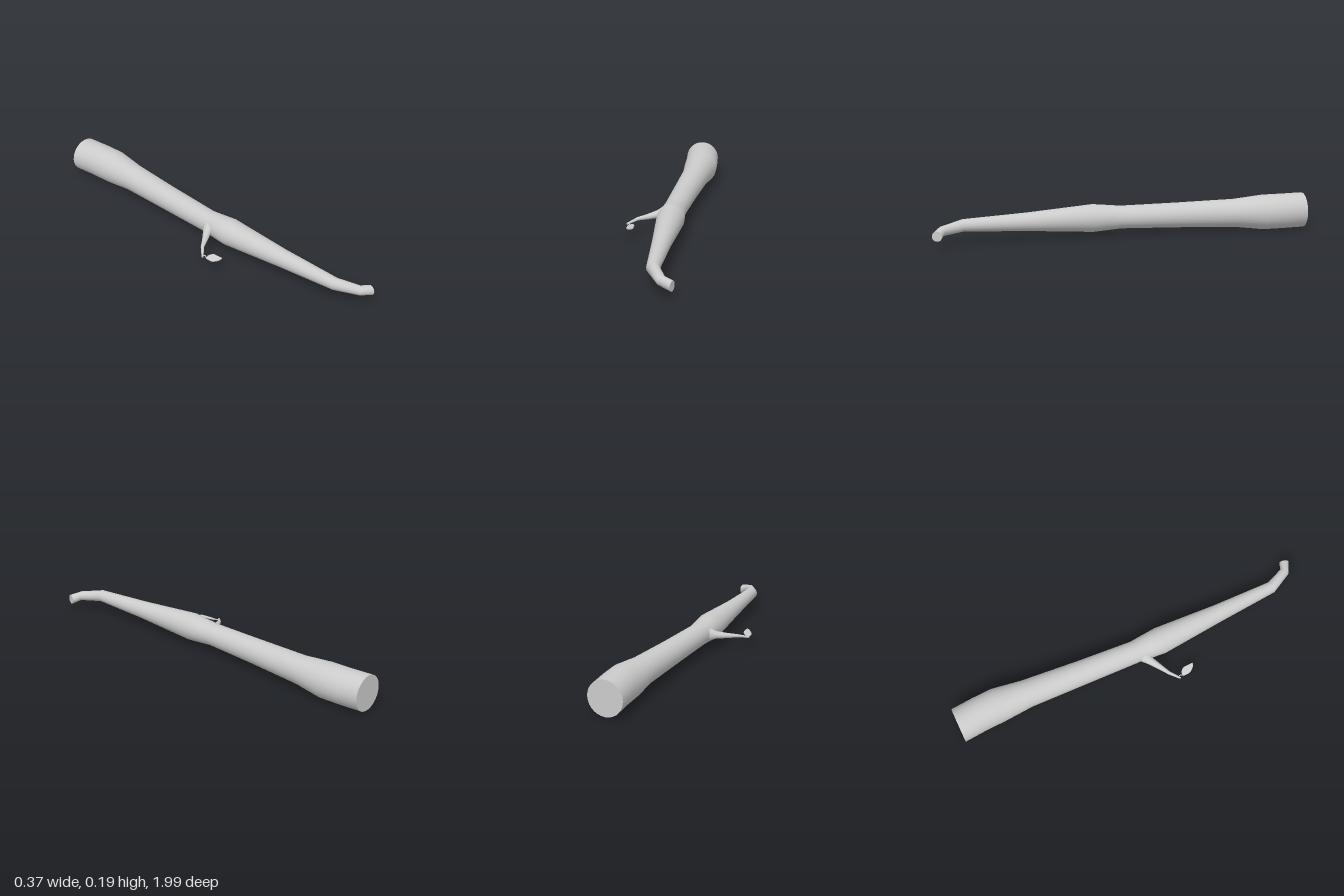
import * as THREE from 'three';

const SIDES = 28;
const material = () => new THREE.MeshStandardMaterial({ color: 0xcccccc });

// Skin over round rings; each ring is [x, y, z, radius, heading in degrees from +z towards +x]
function limb(name, rings) {
  const group = new THREE.Group();
  group.name = name;
  const up = new THREE.Vector3(0, 1, 0);
  const loops = rings.map(([x, y, z, r, heading]) => {
    const a = THREE.MathUtils.degToRad(heading);
    const side = new THREE.Vector3(Math.cos(a), 0, -Math.sin(a));
    return Array.from({ length: SIDES }, (_, j) => {
      const t = (j / SIDES) * Math.PI * 2;
      return new THREE.Vector3(x, y, z)
        .addScaledVector(side, r * Math.cos(t))
        .addScaledVector(up, r * Math.sin(t));
    });
  });
  const build = (points, index, part) => {
    const g = new THREE.BufferGeometry().setFromPoints(points);
    g.setIndex(index);
    g.computeVertexNormals();
    const mesh = new THREE.Mesh(g, material());
    mesh.name = part;
    group.add(mesh);
  };

  // Bark
  const index = [];
  for (let i = 0; i < rings.length - 1; i++) {
    for (let j = 0; j < SIDES; j++) {
      const k = (j + 1) % SIDES;
      const a = i * SIDES + j, b = i * SIDES + k;
      index.push(a, b, a + SIDES, b, b + SIDES, a + SIDES);
    }
  }
  build(loops.flat(), index, name + 'Bark');

  // Flat cut ends
  const fan = [], reversed = [];
  for (let j = 1; j < SIDES - 1; j++) {
    fan.push(0, j, j + 1);
    reversed.push(0, j + 1, j);
  }
  build(loops[0], reversed, name + 'BaseCut');
  build(loops[loops.length - 1], fan, name + 'TipCut');
  return group;
}

export function createModel() {
  const model = new THREE.Group();
  model.name = 'branch';

  // Main stem, tapering forward to a hooked tip
  model.add(limb('stem', [
    [0.073, 0.094, -1.0, 0.093, 0],
    [0.083, 0.094, -0.88, 0.093, 0],
    [0.087, 0.094, -0.77, 0.093, 0],
    [0.08, 0.095, -0.61, 0.075, 0],
    [0.062, 0.095, -0.3, 0.066, 0],
    [0.047, 0.095, 0.0, 0.06, 0],
    [0.047, 0.096, 0.08, 0.067, 0],
    [0.047, 0.097, 0.15, 0.073, 0],
    [0.055, 0.096, 0.5, 0.048, 0],
    [0.066, 0.096, 0.83, 0.032, 8],
    [0.122, 0.083, 0.943, 0.025, 36],
    [0.177, 0.07, 0.97, 0.026, 72],
  ]));

  // Side twig, flaring where it joins the stem
  model.add(limb('twig', [
    [0.03, 0.097, 0.035, 0.052, -85],
    [-0.004, 0.093, 0.045, 0.036, -75],
    [-0.032, 0.088, 0.056, 0.021, -62],
    [-0.085, 0.081, 0.09, 0.014, -58],
    [-0.132, 0.077, 0.118, 0.009, -52],
    [-0.18, 0.062, 0.163, 0.005, -45],
  ]));

  // Thin curved leaf stalk
  const stalkPath = new THREE.CatmullRomCurve3([
    new THREE.Vector3(-0.17, 0.065, 0.155),
    new THREE.Vector3(-0.164, 0.062, 0.17),
    new THREE.Vector3(-0.17, 0.059, 0.182),
    new THREE.Vector3(-0.162, 0.059, 0.195),
  ]);
  const stalk = new THREE.Mesh(new THREE.TubeGeometry(stalkPath, 10, 0.0028, 8), material());
  stalk.name = 'leafStalk';
  model.add(stalk);

  // Thick little leaf, tilted up towards the stem
  const outline = new THREE.Shape();
  outline.moveTo(-0.02, 0.034);
  outline.quadraticCurveTo(0.004, 0.042, 0.019, 0.012);
  outline.lineTo(0.021, -0.037);
  outline.quadraticCurveTo(-0.004, -0.034, -0.02, 0.0);
  outline.closePath();
  const leafShape = new THREE.ExtrudeGeometry(outline, {
    depth: 0.005, bevelThickness: 0.002, bevelSize: 0.002, bevelSegments: 2, curveSegments: 6,
  });
  leafShape.translate(0, 0, -0.0025);
  leafShape.rotateX(-Math.PI / 2);
  leafShape.rotateZ(0.42);
  const leaf = new THREE.Mesh(leafShape, material());
  leaf.name = 'leaf';
  leaf.position.set(-0.153, 0.065, 0.217);
  model.add(leaf);

  return model;
}
